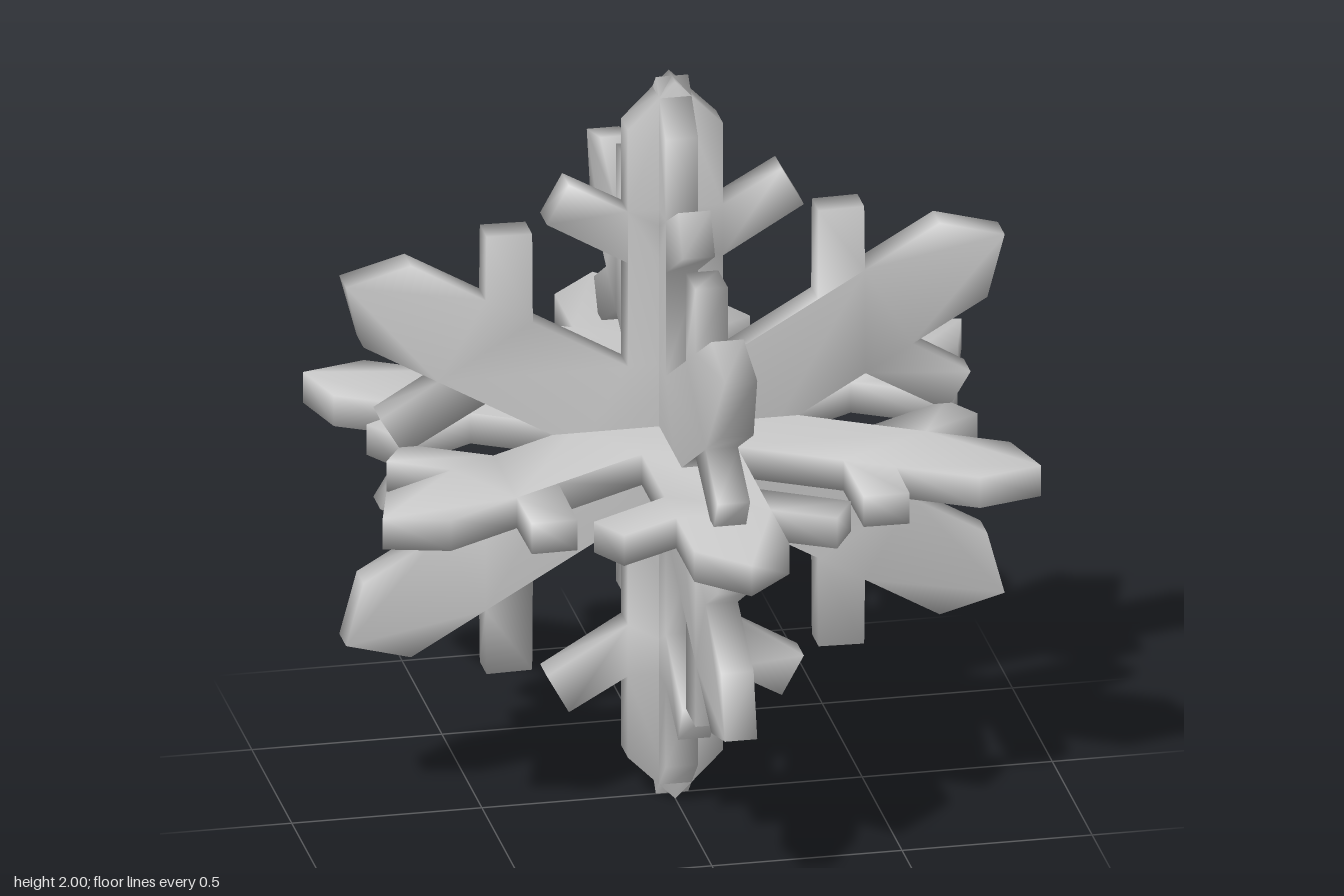
import * as THREE from 'three';
import { mergeVertices } from 'three/addons/utils/BufferGeometryUtils.js';

const THICK = 0.085;

// Right half of one arm pointing up, from the inner notch to the tip
const HALF_ARM = [
  [0.125, 0.2165], [0.125, 0.505], [0.338, 0.63], [0.28, 0.735],
  [0.125, 0.648], [0.125, 0.875],
];

// Six-armed outline: each arm is the mirrored half profile plus its tip
function flakeShape() {
  const mirrored = HALF_ARM.map(([x, y]) => [-x, y]).reverse();
  const arm = [...HALF_ARM, [0, 1], ...mirrored.slice(0, -1)];
  const centre = new THREE.Vector2();
  const points = [];
  for (let i = 0; i < 6; i++) {
    for (const [x, y] of arm) {
      points.push(new THREE.Vector2(x, y).rotateAround(centre, (i * Math.PI) / 3));
    }
  }
  return new THREE.Shape(points);
}

// Plate with welded corners, so the shading rolls softly over its edges
function flakeGeometry() {
  const plate = new THREE.ExtrudeGeometry(flakeShape(), { depth: THICK, bevelEnabled: false });
  plate.translate(0, 0, -THICK / 2);
  plate.deleteAttribute('normal');
  plate.deleteAttribute('uv');
  const welded = mergeVertices(plate, 1e-4);
  welded.computeVertexNormals();
  return welded;
}

export function createModel() {
  const group = new THREE.Group();
  group.name = 'snowflakeOrnament';
  const geometry = flakeGeometry();
  const material = new THREE.MeshStandardMaterial({ color: 0xcccccc });

  // Three identical flakes crossing at right angles
  const flakes = [
    ['frontFlake', 0, 0],
    ['sideFlake', 0, Math.PI / 2],
    ['levelFlake', -Math.PI / 2, 0],
  ];
  for (const [name, rx, ry] of flakes) {
    const flake = new THREE.Mesh(geometry, material);
    flake.name = name;
    flake.rotation.set(rx, ry, 0);
    flake.position.y = 1;
    group.add(flake);
  }
  return group;
}
